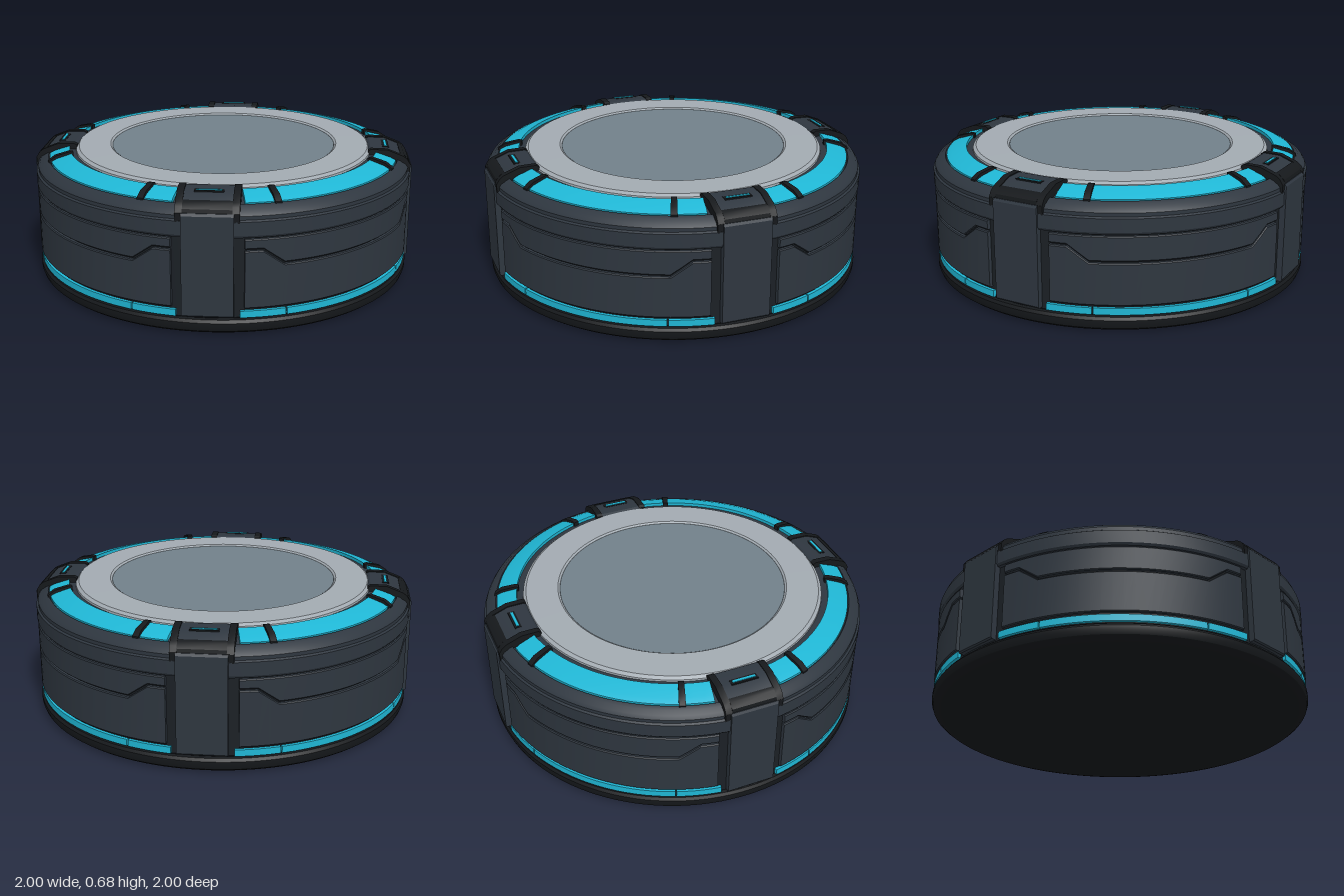
import * as THREE from 'three';
import { toCreasedNormals } from 'three/addons/utils/BufferGeometryUtils.js';

const mat = (color) => new THREE.MeshStandardMaterial({ color });
const RAD = Math.PI / 180;

export function createModel() {
  const root = new THREE.Group();
  const shell = mat(0x2e363f), dark = mat(0x1b2025), black = mat(0x15181b);
  const cyan = mat(0x1fb6d4), grey = mat(0xa2aab1), slate = mat(0x71808a);

  const add = (parent, name, geo, material) => {
    const m = new THREE.Mesh(toCreasedNormals(geo, 0.5), material);
    m.name = name;
    parent.add(m);
    return m;
  };

  // Revolved part from [radius, y] points, listed from bottom to top
  const lathe = (name, pts, material) =>
    add(root, name, new THREE.LatheGeometry(pts.map((p) => new THREE.Vector2(...p)), 128), material);

  // Convex profile(angle) of [radius, y] points swept through a list of angles in degrees
  const sweep = (parent, name, profile, angles, material) => {
    const pos = [], idx = [], n = profile(angles[0]).length;
    for (const a of angles)
      for (const [r, y] of profile(a)) pos.push(r * Math.sin(a * RAD), y, r * Math.cos(a * RAD));
    for (let s = 0; s < angles.length - 1; s++)
      for (let i = 0; i < n; i++) {
        const a = s * n + i, b = a + n, c = s * n + (i + 1) % n, d = c + n;
        idx.push(a, b, d, a, d, c);
      }
    const e = (angles.length - 1) * n;
    for (let i = 1; i < n - 1; i++) idx.push(0, i, i + 1, e, e + i + 1, e + i);
    const g = new THREE.BufferGeometry();
    g.setAttribute('position', new THREE.Float32BufferAttribute(pos, 3));
    g.setIndex(idx);
    return add(parent, name, g, material);
  };
  const range = (a, b) => {
    const n = Math.max(1, Math.ceil((b - a) / 3));
    return Array.from({ length: n + 1 }, (_, i) => a + (b - a) * i / n);
  };

  // Base, core and rounded shoulder
  lathe('base', [[0, 0], [0.95, 0], [0.975, 0.006], [0.993, 0.02], [1, 0.04], [1, 0.062],
    [0.99, 0.076], [0.97, 0.08]], black);
  lathe('core', [[0.97, 0.075], [0.978, 0.085], [0.978, 0.49]], dark);
  lathe('shoulder', [[0.975, 0.482], [0.992, 0.486], [1, 0.498], [1, 0.565], [0.99, 0.572], [0.99, 0.59],
    [0.978, 0.607], [0.962, 0.615], [0.955, 0.622], [0.935, 0.63], [0.93, 0.618],
    [0.82, 0.652], [0.78, 0.652]], shell);

  // Top plate: bevelled grey ring around a shallow sunken disc
  lathe('topRing', [[0.79, 0.645], [0.788, 0.662], [0.772, 0.674], [0.605, 0.676], [0.595, 0.668],
    [0.595, 0.66]], grey);
  lathe('topDisc', [[0.597, 0.655], [0.594, 0.668], [0, 0.668]], slate);

  // Step line of the side panels: low in the middle, rising to both ends
  const step = (a) => 0.35 + 0.075 * THREE.MathUtils.clamp((Math.abs(a) - 24) / 6, 0, 1);
  const panelAngles = [...range(-35, -30), ...range(-30, -24).slice(1), ...range(-24, 24).slice(1),
    ...range(24, 30).slice(1), ...range(30, 35).slice(1)];
  const plate = (y0, y1) => [[0.97, y0], [0.992, y0], [0.997, y0 + 0.005], [0.997, y1 - 0.005],
    [0.992, y1], [0.97, y1]];
  const band = () => [[0.965, 0.088], [0.994, 0.088], [0.994, 0.122], [0.965, 0.122]];
  const light = () => [[0.822, 0.63], [0.925, 0.61], [0.928, 0.634], [0.9, 0.648], [0.822, 0.669]];
  const rib = () => [[0.812, 0.63], [0.94, 0.61], [0.942, 0.636], [0.905, 0.662], [0.83, 0.68],
    [0.812, 0.676]];

  for (let q = 0; q < 4; q++) {
    const side = new THREE.Group();
    side.name = 'sideSection';
    side.rotation.y = q * Math.PI / 2;
    root.add(side);

    sweep(side, 'lowerPanel', (a) => plate(0.135, step(a) - 0.004), panelAngles, shell);
    sweep(side, 'upperPanel', (a) => plate(step(a) + 0.006, 0.479), panelAngles, shell);
    for (const [a, b] of [[-36.2, -23.4], [-23, 23], [23.4, 36.2]])
      sweep(side, 'lowerLight', band, range(a, b), cyan);
    for (const [a, b] of [[-34.5, -26], [-24, 24], [26, 34.5]])
      sweep(side, 'topLight', light, range(a, b), cyan);
    for (const a of [-25, 25]) sweep(side, 'lightRib', rib, [a - 1, a + 1], black);

    // Clamp on the diagonal, local +z pointing outwards
    const clamp = new THREE.Group();
    clamp.name = 'clamp';
    clamp.rotation.y = Math.PI / 4;
    side.add(clamp);

    // Profile of [radius, y] points extruded across the clamp
    const slab = (name, pts, x, width, material) => {
      const g = new THREE.ExtrudeGeometry(
        new THREE.Shape(pts.map((p) => new THREE.Vector2(...p))), { depth: width, bevelEnabled: false });
      g.rotateY(-Math.PI / 2);
      g.translate(x + width / 2, 0, 0);
      return add(clamp, name, g, material);
    };
    slab('clampHead', [[0.77, 0.62], [0.93, 0.6], [0.985, 0.605], [0.98, 0.622], [0.955, 0.643],
      [0.87, 0.676], [0.785, 0.678], [0.77, 0.67]], 0, 0.27, shell);
    for (const s of [-1, 1])
      slab('clampCheek', [[0.77, 0.62], [0.93, 0.565], [0.99, 0.56], [0.992, 0.605], [0.975, 0.632],
        [0.955, 0.648], [0.87, 0.681], [0.785, 0.683], [0.77, 0.674]], s * 0.132, 0.034, black);
    slab('clampBrow', [[0.94, 0.6], [0.99, 0.6], [0.985, 0.622], [0.96, 0.646], [0.94, 0.652]],
      0, 0.23, black);
    slab('clampLeg', [[0.95, 0.092], [0.995, 0.092], [1.001, 0.1], [1.001, 0.592], [0.993, 0.604],
      [0.95, 0.604]], 0, 0.245, shell);
    const slot = add(clamp, 'clampLight', new THREE.BoxGeometry(0.12, 0.012, 0.014), cyan);
    slot.position.set(0, 0.675, 0.865);
    const slotFrame = add(clamp, 'clampLightFrame', new THREE.BoxGeometry(0.14, 0.01, 0.034), black);
    slotFrame.position.set(0, 0.673, 0.865);
  }
  return root;
}
